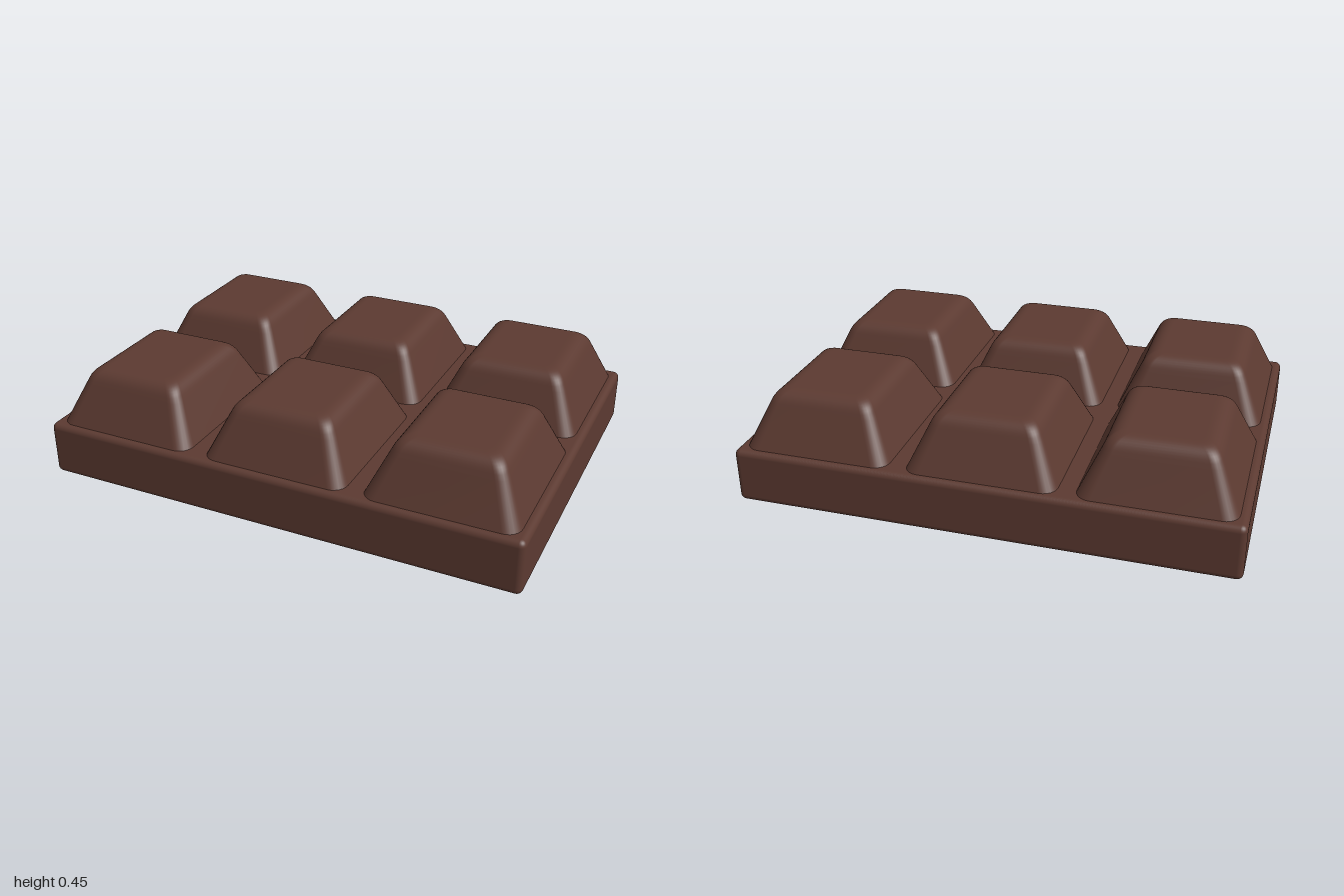
import * as THREE from 'three';
import { RoundedBoxGeometry } from 'three/addons/geometries/RoundedBoxGeometry.js';

const SLAB_TOP = 0.227, PIECE_TOP = 0.45;
const HALF_X = 0.299, HALF_Z = 0.338; // half size of a piece at its foot
const CORNER_STEPS = 6;

// Profile of a piece: x = inset from the foot outline, y = height
function pieceProfile() {
  const path = new THREE.CurvePath();
  const foot = new THREE.Vector2(-0.003, SLAB_TOP - 0.007);
  const shoulder = new THREE.Vector2(0.082, 0.403);
  path.add(new THREE.LineCurve(foot, shoulder));
  const round = new THREE.QuadraticBezierCurve(
    shoulder, new THREE.Vector2(0.104, PIECE_TOP), new THREE.Vector2(0.155, PIECE_TOP));
  const mid = shoulder.clone().lerp(foot, 0.1); // keeps the wall shading straight
  return [foot, mid, ...round.getPoints(8), new THREE.Vector2(0.17, PIECE_TOP)];
}

// Rounded rectangle ring, counter-clockwise seen from above
function ring(inset, y) {
  const r = Math.max(0.03, 0.06 - inset * 0.2);
  const cx = HALF_X - inset - r, cz = HALF_Z - inset - r;
  const points = [];
  for (let q = 0; q < 4; q++) {
    const sx = q === 0 || q === 3 ? 1 : -1, sz = q < 2 ? 1 : -1;
    for (let i = 0; i <= CORNER_STEPS; i++) {
      const a = (q + i / CORNER_STEPS) * Math.PI / 2;
      points.push([sx * cx + r * Math.cos(a), y, sz * cz + r * Math.sin(a)]);
    }
  }
  return points;
}

// Tapered piece skinned over its rings and closed by a flat cap
function pieceGeometry() {
  const rings = pieceProfile().map(p => ring(p.x, p.y));
  const n = rings[0].length, positions = rings.flat(2), index = [];
  for (let k = 0; k < rings.length - 1; k++) {
    for (let i = 0; i < n; i++) {
      const a = k * n + i, b = k * n + (i + 1) % n;
      index.push(a, a + n, b, b, a + n, b + n);
    }
  }
  const last = (rings.length - 1) * n, centre = rings.length * n;
  positions.push(0, PIECE_TOP, 0);
  for (let i = 0; i < n; i++) index.push(last + i, centre, last + (i + 1) % n);
  const geometry = new THREE.BufferGeometry();
  geometry.setAttribute('position', new THREE.Float32BufferAttribute(positions, 3));
  geometry.setIndex(index);
  geometry.computeVertexNormals();
  return geometry;
}

export function createModel() {
  const chocolate = new THREE.MeshStandardMaterial({ color: 0x5c3a31 });
  chocolate.name = 'chocolate brown';
  const model = new THREE.Group();
  model.name = 'chocolateBar';

  // Base slab with softly rounded edges
  const slab = new THREE.Mesh(new RoundedBoxGeometry(2, SLAB_TOP, 1.46, 4, 0.025), chocolate);
  slab.name = 'baseSlab';
  slab.position.y = SLAB_TOP / 2;
  model.add(slab);

  // Two rows of three pieces
  const geometry = pieceGeometry();
  for (const row of [-1, 1]) {
    for (const column of [-1, 0, 1]) {
      const piece = new THREE.Mesh(geometry, chocolate);
      piece.name = 'chocolatePiece';
      piece.position.set(column * 0.667, 0, row * 0.367);
      model.add(piece);
    }
  }
  return model;
}
